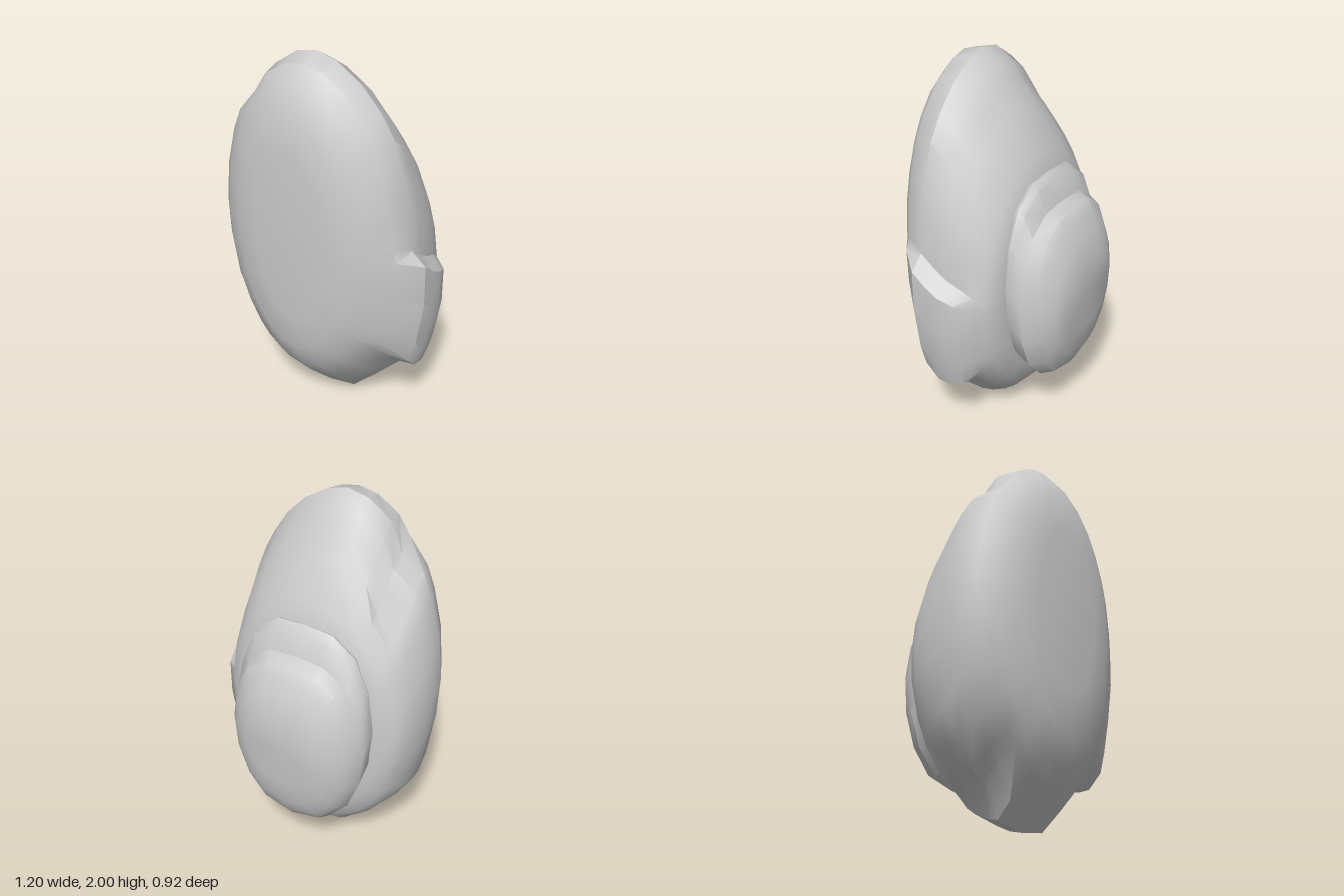
import * as THREE from 'three';
import { toCreasedNormals } from 'three/addons/utils/BufferGeometryUtils.js';

const CX = -0.035; // both masses share this centre line

// Skin closed rings (clockwise from the front, ordered front to back) and cap both ends.
function loft(rings, crease) {
  const n = rings[0].length, pos = [], idx = [];
  rings.forEach(r => r.forEach(p => pos.push(p.x, p.y, p.z)));
  for (let i = 0; i < rings.length - 1; i++) {
    for (let j = 0; j < n; j++) {
      const k = (j + 1) % n, a = i * n + j, b = i * n + k;
      idx.push(a, b, a + n, b, b + n, a + n);
    }
  }
  [0, rings.length - 1].forEach(i => {
    const c = rings[i].reduce((s, p) => s.add(p), new THREE.Vector3()).divideScalar(n);
    const m = pos.length / 3;
    pos.push(c.x, c.y, c.z);
    for (let j = 0; j < n; j++) {
      const a = i * n + j, b = i * n + (j + 1) % n;
      if (i === 0) idx.push(m, b, a); else idx.push(m, a, b);
    }
  });
  const g = new THREE.BufferGeometry();
  g.setAttribute('position', new THREE.Float32BufferAttribute(pos, 3));
  g.setIndex(idx);
  return toCreasedNormals(g, crease);
}

// Widest outline of the boulder, with its side bulges and notches.
const bumpy = [
  [-0.03, 2], [0.08, 1.97], [0.22, 1.88], [0.33, 1.76], [0.41, 1.63], [0.47, 1.43], [0.51, 1.27],
  [0.52, 1.05], [0.6, 0.98], [0.6, 0.75], [0.56, 0.48], [0.52, 0.35], [0.42, 0.33], [0.28, 0.18],
  [0.13, 0.03], [-0.03, 0], [-0.19, 0.03], [-0.28, 0.2], [-0.36, 0.24], [-0.46, 0.35], [-0.55, 0.51],
  [-0.59, 0.8], [-0.6, 1.03], [-0.575, 1.27], [-0.52, 1.5], [-0.47, 1.63], [-0.34, 1.72],
  [-0.28, 1.88], [-0.15, 1.975],
].map(([x, y]) => new THREE.Vector2((x - CX) / 0.56, y - 1));

// z, half width, bottom, top, strength of the bulges
const bodyRings = [
  [0.46, 0.215, 0.63, 1.55, 0],
  [0.44, 0.335, 0.42, 1.75, 0],
  [0.38, 0.44, 0.28, 1.88, 0],
  [0.31, 0.51, 0.19, 1.97, 0.4],
  [0.2, 0.56, 0.08, 2, 1],
  [0.12, 0.56, 0, 1.95, 1],
  [0.05, 0.56, 0.02, 1.85, 1],
  [-0.03, 0.545, 0.06, 1.74, 0.9],
  [-0.09, 0.53, 0.1, 1.64, 0.2],
  [-0.15, 0.5, 0.17, 1.52, 0],
  [-0.19, 0.44, 0.28, 1.43, 0],
  [-0.2, 0.36, 0.42, 1.33, 0],
];

// Egg-shaped outline of the rear lump: broad on top, narrower below.
const half = [[0, 1], [0.4, 0.98], [0.72, 0.82], [0.92, 0.5], [1, 0.1], [0.95, -0.3],
  [0.78, -0.65], [0.48, -0.91], [0, -1]];
const egg = [...half, ...half.slice(1, -1).reverse().map(([x, y]) => [-x, y])]
  .map(([x, y]) => new THREE.Vector2(x, y));

const lumpRings = [
  [-0.14, 0.38, 0.35, 1.4],
  [-0.2, 0.395, 0.31, 1.43],
  [-0.235, 0.395, 0.285, 1.4],
  [-0.28, 0.39, 0.27, 1.285],
  [-0.35, 0.355, 0.305, 1.255],
  [-0.38, 0.325, 0.35, 1.21],
  [-0.42, 0.28, 0.44, 1.13],
  [-0.45, 0.215, 0.58, 1.0],
];

// Fit an outline to one ring's extents, fading its bumps towards an ellipse.
function fit(outline, [z, hx, y0, y1, bumps = 1]) {
  return outline.map(p => {
    const q = p.clone().normalize().lerp(p, bumps);
    return new THREE.Vector3(CX + q.x * hx, (y0 + y1) / 2 + q.y * (y1 - y0) / 2, z);
  });
}

export function createModel() {
  const group = new THREE.Group();
  const material = new THREE.MeshStandardMaterial({ color: 0xcccccc });

  const body = new THREE.Mesh(loft(bodyRings.map(r => fit(bumpy, r)), 0.65), material);
  body.name = 'boulderBody';

  // The lump's flat back leans: lower points sit slightly further forward.
  const rings = lumpRings.map(r => fit(egg, r));
  rings[rings.length - 1].forEach(p => { p.z -= (p.y - 0.8) * 0.05; });
  const lump = new THREE.Mesh(loft(rings, 0.6), material);
  lump.name = 'rearLump';

  group.add(body, lump);
  return group;
}
